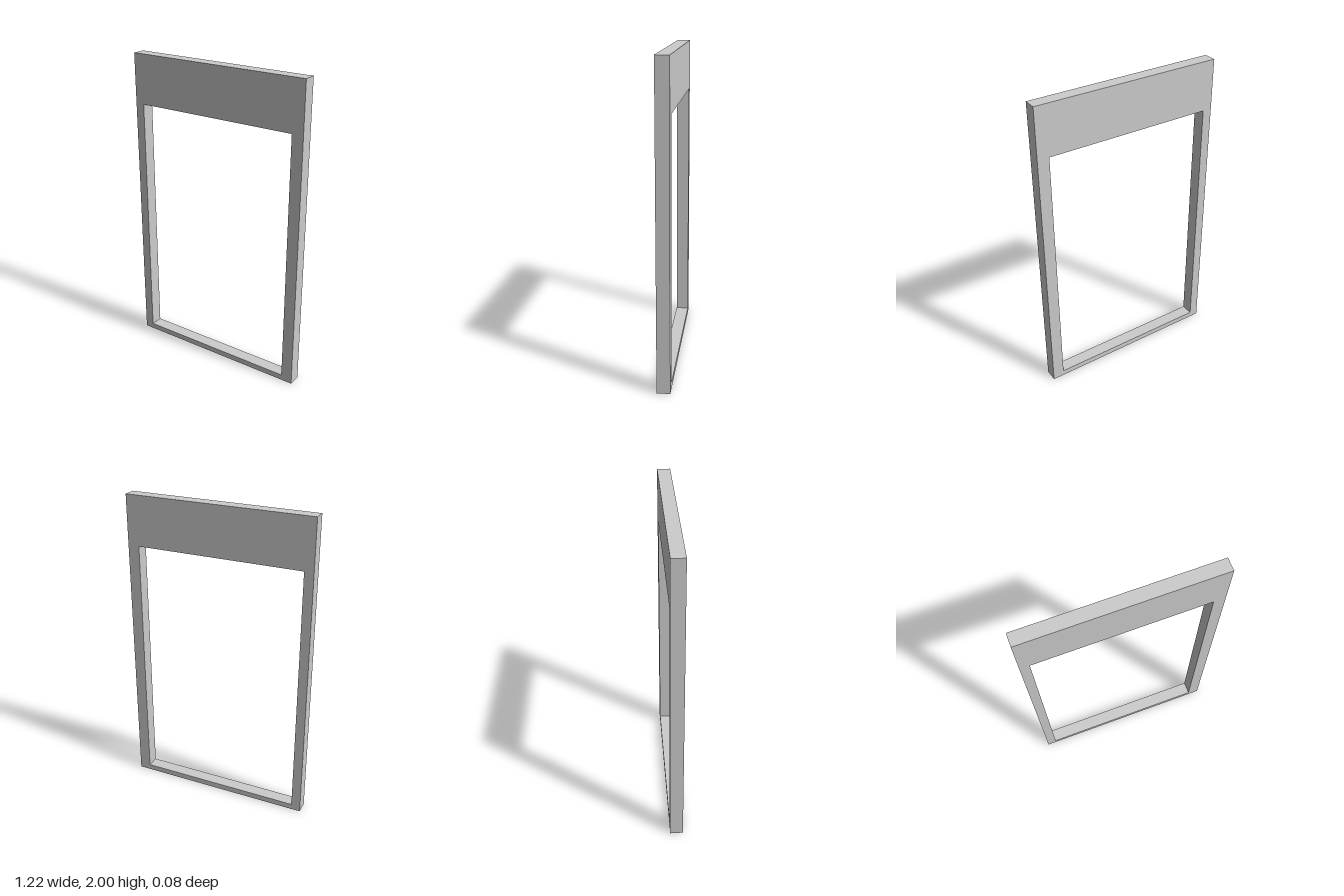
import * as THREE from 'three';

const WIDTH = 1.22, HEIGHT = 2, DEPTH = 0.083;
// Edges of the opening; the frame is slightly wider on its +x side
const OPENING = { left: -0.55, right: 0.535, bottom: 0.037, top: 1.677 };

// Adds the corners of an axis-aligned rectangle to a shape or path
function rectangle(path, x0, y0, x1, y1) {
  path.moveTo(x0, y0);
  path.lineTo(x1, y0);
  path.lineTo(x1, y1);
  path.lineTo(x0, y1);
  path.closePath();
  return path;
}

export function createModel() {
  const model = new THREE.Group();
  model.name = 'openFrame';

  // One-piece frame: tall header, two jambs and a thin sill around the opening
  const outline = rectangle(new THREE.Shape(), -WIDTH / 2, 0, WIDTH / 2, HEIGHT);
  outline.holes.push(
    rectangle(new THREE.Path(), OPENING.left, OPENING.bottom, OPENING.right, OPENING.top)
  );
  const geometry = new THREE.ExtrudeGeometry(outline, { depth: DEPTH, bevelEnabled: false });
  geometry.translate(0, 0, -DEPTH / 2);

  const frame = new THREE.Mesh(geometry, new THREE.MeshStandardMaterial({ color: 0xcccccc }));
  frame.name = 'frame';
  model.add(frame);
  return model;
}
